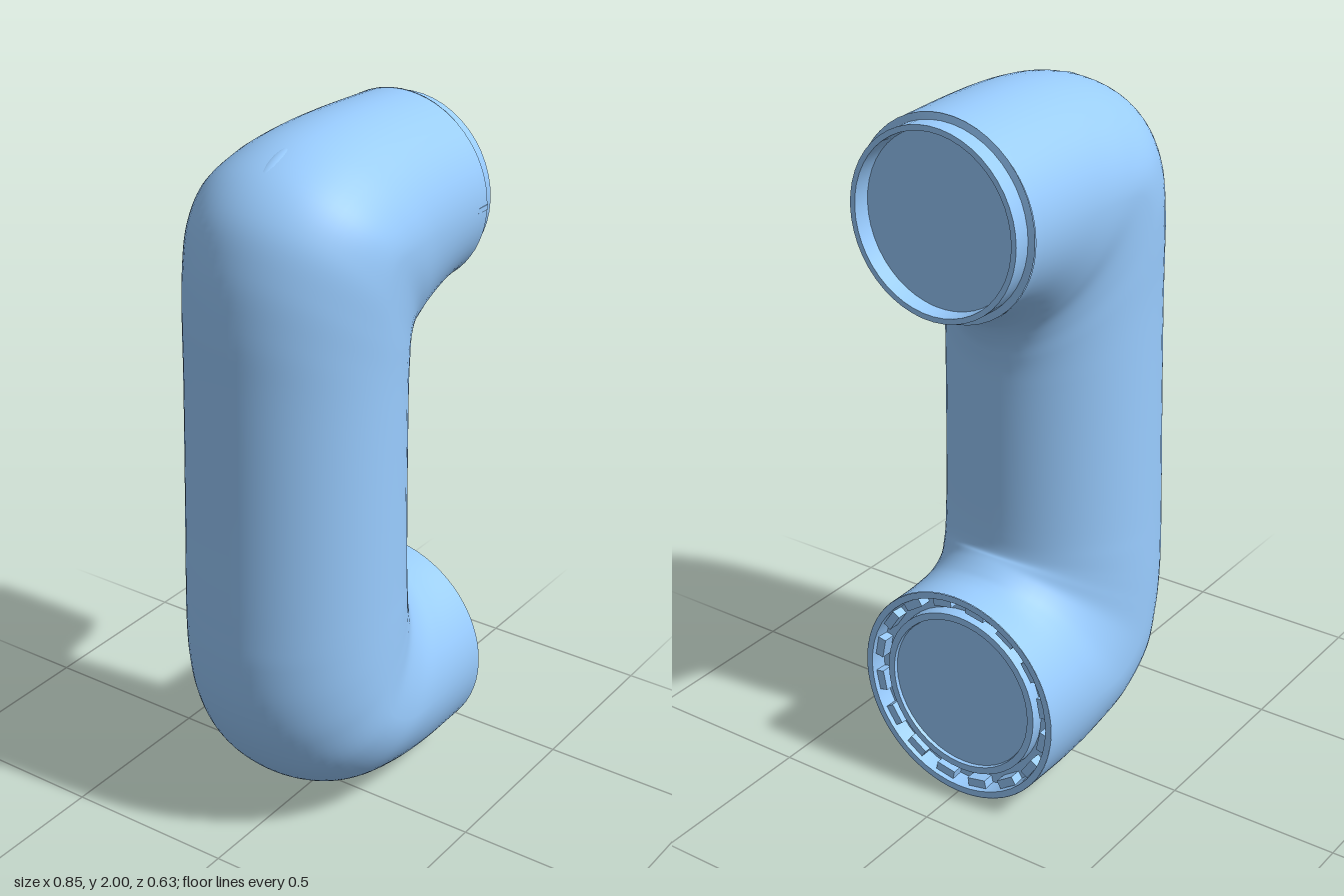
import * as THREE from 'three';
import { toCreasedNormals } from 'three/addons/utils/BufferGeometryUtils.js';

const material = new THREE.MeshStandardMaterial({ color: 0x99ccff, side: THREE.DoubleSide });

// Stations along the pipe: outer x, y, inner x, y, half width in z,
// and how far from outer to inner the widest point lies
const stations = [
  [0.37, 1.992, 0.37, 1.448, 0.276, 0.5],
  [0.33, 1.994, 0.335, 1.446, 0.277, 0.5],
  [0.15, 2.0, 0.28, 1.425, 0.281, 0.487],
  [0.0, 1.996, 0.24, 1.397, 0.287, 0.458],
  [-0.15, 1.972, 0.222, 1.376, 0.296, 0.42],
  [-0.265, 1.92, 0.207, 1.35, 0.3, 0.375],
  [-0.345, 1.835, 0.194, 1.32, 0.301, 0.41],
  [-0.388, 1.715, 0.186, 1.285, 0.3, 0.46],
  [-0.406, 1.57, 0.181, 1.25, 0.298, 0.49],
  [-0.41, 1.4, 0.179, 1.2, 0.298, 0.5],
  [-0.417, 1.0, 0.179, 1.0, 0.302, 0.5],
  [-0.423, 0.7, 0.182, 0.76, 0.307, 0.5],
  [-0.423, 0.6, 0.184, 0.72, 0.309, 0.5],
  [-0.408, 0.45, 0.188, 0.7, 0.311, 0.48],
  [-0.37, 0.325, 0.197, 0.69, 0.312, 0.44],
  [-0.29, 0.197, 0.212, 0.677, 0.313, 0.38],
  [-0.16, 0.09, 0.232, 0.661, 0.314, 0.4],
  [0.01, 0.027, 0.257, 0.645, 0.316, 0.465],
  [0.16, 0.004, 0.287, 0.637, 0.317, 0.495],
  [0.353, 0.002, 0.353, 0.636, 0.316, 0.5],
];

// Loft sections made of two half ellipses between the outer and inner curves
function pipeGeometry(rings = 114, sides = 64) {
  const outer = new THREE.CatmullRomCurve3(stations.map(s => new THREE.Vector3(s[0], s[1], s[4])));
  const inner = new THREE.CatmullRomCurve3(stations.map(s => new THREE.Vector3(s[2], s[3], s[5])));
  const positions = [], indices = [];
  for (let r = 0; r <= rings; r++) {
    const o = outer.getPoint(r / rings), i = inner.getPoint(r / rings), mid = i.z;
    for (let s = 0; s < sides; s++) {
      const a = (s / sides) * Math.PI * 2, c = Math.cos(a);
      const k = mid - c * (c > 0 ? mid : 1 - mid);
      positions.push(o.x + (i.x - o.x) * k, o.y + (i.y - o.y) * k, o.z * Math.sin(a));
      if (r === rings) continue;
      const p = r * sides + s, q = r * sides + (s + 1) % sides;
      indices.push(p, p + sides, q, q, p + sides, q + sides);
    }
  }
  const g = new THREE.BufferGeometry();
  g.setAttribute('position', new THREE.Float32BufferAttribute(positions, 3));
  g.setIndex(indices);
  g.computeVertexNormals();
  return g;
}

// Turned part around an axis parallel to x; profile is [radius, x]
function turned(name, profile, y) {
  const g = new THREE.LatheGeometry(profile.map(p => new THREE.Vector2(...p)), 48);
  g.rotateZ(-Math.PI / 2);
  const mesh = new THREE.Mesh(toCreasedNormals(g, 0.5), material);
  mesh.name = name;
  mesh.position.y = y;
  return mesh;
}

export function createModel() {
  const group = new THREE.Group();
  group.name = 'pipeBend';
  const add = (name, geometry, x, y, z) => {
    const mesh = new THREE.Mesh(geometry, material);
    mesh.name = name;
    mesh.position.set(x, y, z);
    group.add(mesh);
    return mesh;
  };

  add('pipeBody', pipeGeometry(), 0, 0, 0);

  // Upper end: stepped spigot with a recessed closing disc
  group.add(turned('upperSpigot', [
    [0.274, 0.37], [0.255, 0.373], [0.255, 0.422], [0.24, 0.422], [0.237, 0.375], [0, 0.375],
  ], 1.72));

  // Lower end: rim, groove, inner ring and a shallow closing disc
  group.add(turned('lowerSocket', [
    [0.316, 0.353], [0.297, 0.353], [0.293, 0.305], [0.25, 0.305],
    [0.248, 0.34], [0.228, 0.34], [0.226, 0.33], [0, 0.33],
  ], 0.319));

  // Lugs in the groove of the socket
  const lug = new THREE.BoxGeometry(0.035, 0.025, 0.06);
  for (let i = 0; i < 16; i++) {
    const a = ((i + 0.5) / 16) * Math.PI * 2;
    const mesh = add('socketLug', lug, 0.322, 0.319 + 0.281 * Math.cos(a), 0.281 * Math.sin(a));
    mesh.rotation.x = a;
  }

  // Small alignment mark on the side of the upper arm
  add('alignmentMark', new THREE.BoxGeometry(0.045, 0.014, 0.01), 0.348, 1.72, 0.273);

  // Slim leaf-shaped marks, almost flush with the two outer bends
  const leaf = new THREE.SphereGeometry(1, 32, 24).scale(0.095, 0.03, 0.034);
  add('upperBendMark', leaf, -0.19, 1.928, 0).rotation.z = 0.4;
  add('lowerBendMark', leaf, -0.08, 0.08, 0).rotation.z = -0.4;

  return group;
}
